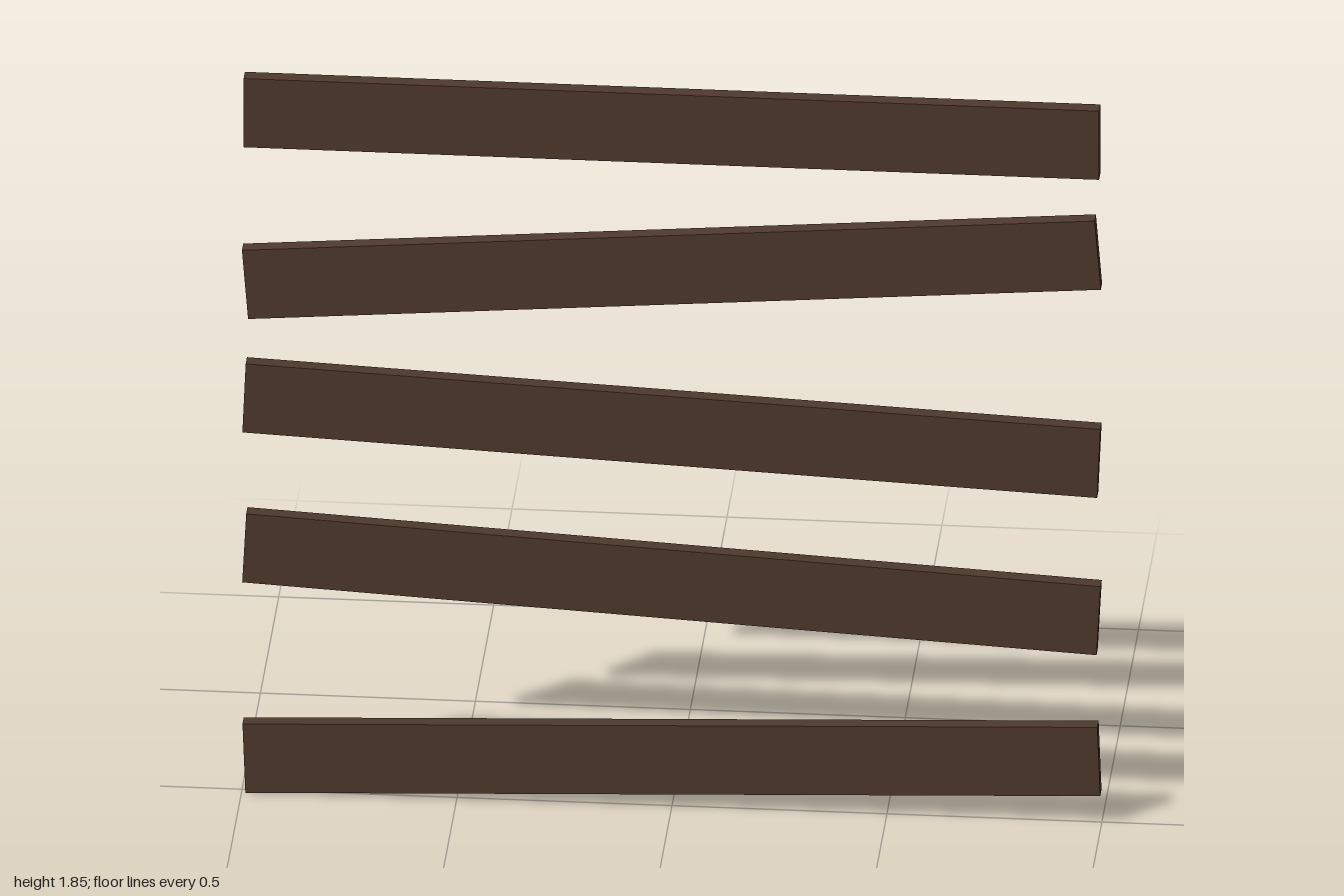
import * as THREE from 'three';

export function createModel() {
  const group = new THREE.Group();
  group.name = 'plankBarricade';

  const darkWood = new THREE.MeshStandardMaterial({ color: 0x4e392d });
  darkWood.name = 'darkWood';

  // one board shape, nailed up at different heights and tilts
  const board = new THREE.BoxGeometry(1.99, 0.178, 0.035);

  // centre height and tilt, from bottom to top
  const planks = [
    ['bottomPlank', 0.128, 0.038],
    ['lowerPlank', 0.583, -0.0525],
    ['middlePlank', 0.981, -0.043],
    ['upperPlank', 1.398, 0.0805],
    ['topPlank', 1.763, 0],
  ];
  for (const [name, y, tilt] of planks) {
    const plank = new THREE.Mesh(board, darkWood);
    plank.name = name;
    plank.position.y = y;
    plank.rotation.z = tilt;
    group.add(plank);
  }
  return group;
}
